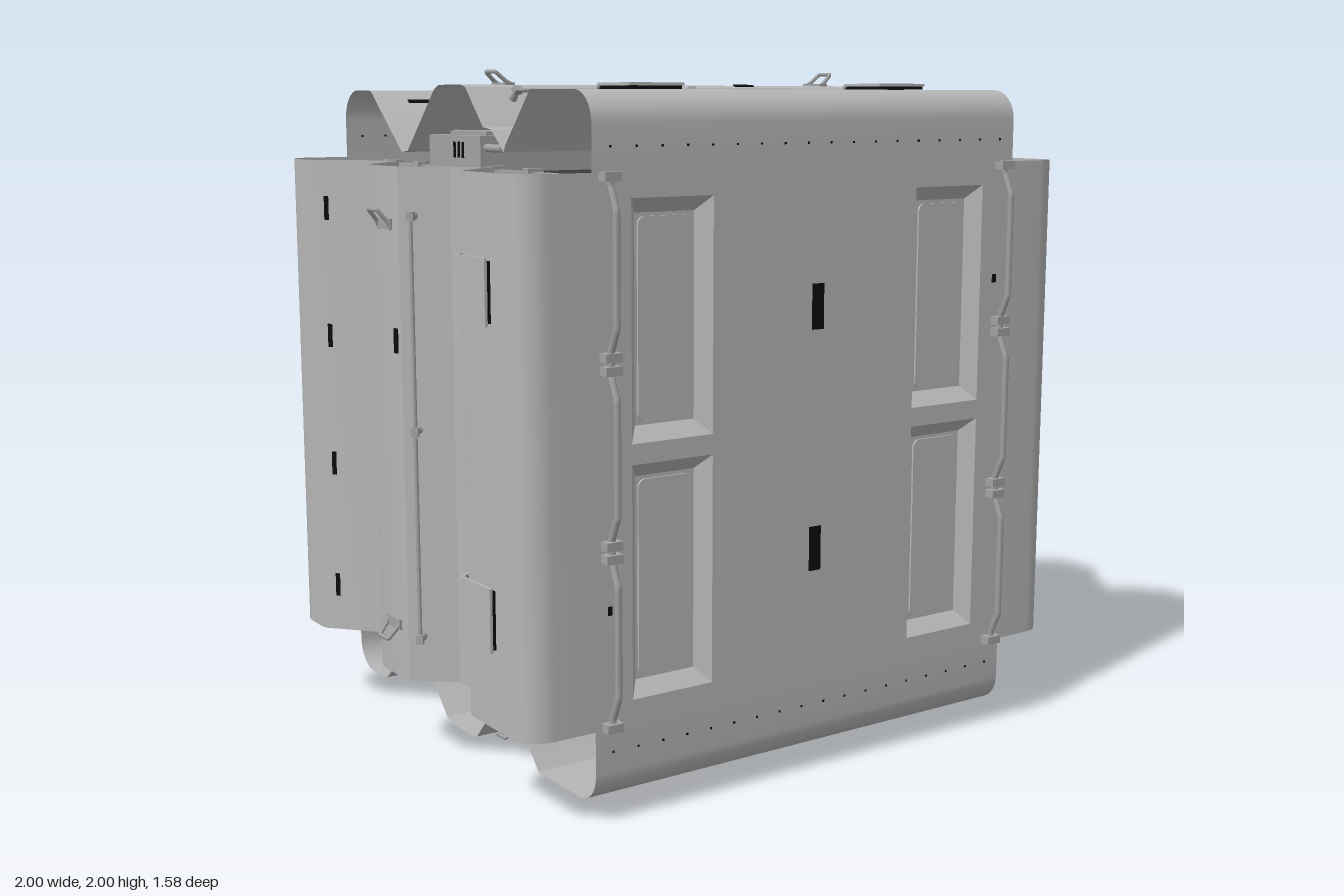
import * as THREE from 'three';
import { toCreasedNormals } from 'three/addons/utils/BufferGeometryUtils.js';

const mat = (name, color, side = THREE.FrontSide) => {
  const m = new THREE.MeshStandardMaterial({ color, side });
  m.name = name;
  return m;
};
const HALF = 0.735;   // half width of every sheet
const TOP = 0.943;    // distance of the outer skin from the centre line

const arc = (cz, cr, radius, from, to) => Array.from({ length: 9 }, (_, i) => {
  const a = THREE.MathUtils.degToRad(from + (to - from) * i / 8);
  return [cz + radius * Math.cos(a), cr + radius * Math.sin(a)];
});

// skin cross-section as [z, distance from centre], front to back
const PROFILE = [
  [0.735, HALF], ...arc(0.65, TOP - 0.085, 0.085, 0, 90),
  [0.43, TOP], [0.295, 0.795], [0.285, 0.775], [0.215, 0.835], [0.17, 0.84],
  [0.07, 0.95], [0.04, 0.957], [-0.09, 0.957], [-0.12, 0.945], [-0.3, 0.765], [-0.34, 0.76],
  [-0.54, 0.935], [-0.56, TOP], ...arc(-0.645, TOP - 0.09, 0.09, 90, 180), [-0.735, HALF],
];

// height and tilt of the skin at a given z
function skinAt(z) {
  for (let i = 1; i < PROFILE.length; i++) {
    const [z0, r0] = PROFILE[i - 1], [z1, r1] = PROFILE[i];
    if (z <= z0 && z >= z1 && z0 > z1) {
      return { r: r0 + (r1 - r0) * (z0 - z) / (z0 - z1), tilt: Math.atan2(r1 - r0, z0 - z1) };
    }
  }
  return { r: TOP, tilt: 0 };
}

// join two rows of points with quads
function strip(a, b, crease) {
  const idx = [];
  for (let i = 0; i < a.length - 1; i++) {
    const j = a.length + i;
    idx.push(i, j, i + 1, i + 1, j, j + 1);
  }
  const g = new THREE.BufferGeometry();
  g.setAttribute('position', new THREE.Float32BufferAttribute([...a, ...b].flat(), 3));
  g.setIndex(idx);
  return toCreasedNormals(g, crease);
}

function roundRect(w, h, r) {
  const s = new THREE.Shape(), x = w / 2, y = h / 2;
  s.absarc(x - r, y - r, r, 0, Math.PI / 2);
  s.absarc(-x + r, y - r, r, Math.PI / 2, Math.PI);
  s.absarc(-x + r, -y + r, r, Math.PI, Math.PI * 1.5);
  s.absarc(x - r, -y + r, r, Math.PI * 1.5, Math.PI * 2);
  return s;
}

export function createModel() {
  const panel = mat('panel grey', 0xb6b6b6, THREE.DoubleSide);
  const metal = mat('fitting grey', 0xa2a2a2);
  const black = mat('black', 0x0c0c0c);
  const dark = mat('interior dark grey', 0x3a3a3a);
  const model = new THREE.Group();
  const body = new THREE.Group();
  body.name = 'body';
  body.position.y = 1;
  model.add(body);

  const add = (parent, name, geo, m, x = 0, y = 0, z = 0) => {
    const o = new THREE.Mesh(geo, m);
    o.name = name;
    o.position.set(x, y, z);
    parent.add(o);
    return o;
  };
  const box = (w, h, d) => new THREE.BoxGeometry(w, h, d);
  const tube = (pts, r, n = 24) => {
    const path = new THREE.CurvePath();
    const v = pts.map(p => new THREE.Vector3(...p));
    for (let i = 1; i < v.length; i++) path.add(new THREE.LineCurve3(v[i - 1], v[i]));
    return new THREE.TubeGeometry(path, n, r, 6);
  };
  // group lying on the skin, its y axis along the surface normal
  const onSkin = (parent, name, x, z) => {
    const g = new THREE.Group(), s = skinAt(z);
    g.name = name;
    g.position.set(x, s.r, z);
    g.rotation.x = s.tilt;
    parent.add(g);
    return g;
  };

  // bent cover plate, between two offsets from the skin
  const padLayer = (lo, hi, width) => {
    const line = o => [[0.58, TOP + o], [0.43 - 0.41 * o, TOP + o], [0.29 - 0.7 * o, 0.79 + 0.7 * o]];
    const pts = [...line(hi), ...line(lo).reverse()].map(p => new THREE.Vector2(...p));
    return new THREE.ExtrudeGeometry(new THREE.Shape(pts), { depth: width, bevelEnabled: false })
      .rotateY(-Math.PI / 2).translate(width / 2, 0, 0);
  };

  function makeSide() {
    const side = new THREE.Group();
    side.name = 'side';
    add(side, 'foldedSkin', strip(PROFILE.map(([z, r]) => [HALF, r, z]),
      PROFILE.map(([z, r]) => [-HALF, r, z]), 0.4), panel);

    for (const s of [-1, 1]) {
      // cover plates with dark seals
      add(side, 'coverSeal', padLayer(0.001, 0.01, 0.16), black, s * 0.432);
      add(side, 'coverPlate', padLayer(0.01, 0.018, 0.175), panel, s * 0.432);
      // outward leaning grab loop
      add(side, 'grabLoop', tube([[s * 0.56, 0.955, 0.038], [s * 0.585, 0.968, 0.034], [s * 0.615, 0.994, 0.028],
        [s * 0.615, 0.994, -0.028], [s * 0.585, 0.968, -0.034], [s * 0.56, 0.955, -0.038]], 0.006, 30), metal);
      add(side, 'grabLoopBase', box(0.03, 0.008, 0.085), metal, s * 0.575, 0.96, 0);
    }

    // long rails on both slopes of the middle ridge
    for (const z of [0.1, -0.245]) {
      const rail = onSkin(side, 'slopeRail', 0, z);
      add(rail, 'rail', new THREE.CylinderGeometry(0.006, 0.006, 1.2, 8).rotateZ(Math.PI / 2), metal, 0, 0.035);
      for (const x of [-0.6, 0, 0.6]) {
        add(rail, 'railPost', new THREE.CylinderGeometry(0.008, 0.012, 0.04, 8), metal, x, 0.018);
        add(rail, 'railClamp', box(0.026, 0.016, 0.02), metal, x, 0.037);
      }
    }

    // dark slots
    for (const x of [-0.59, -0.2, 0.2, 0.59]) {
      add(onSkin(side, 'rearSlot', x, -0.51), 'slot', box(0.072, 0.005, 0.014), black);
    }
    add(onSkin(side, 'ridgeSlot', 0.25, 0.05), 'slot', box(0.07, 0.008, 0.016), black);
    for (const x of [0.645, 0.663]) {
      add(onSkin(side, 'smallMark', x, -0.38), 'mark', box(0.012, 0.006, 0.01), black);
    }

    // equipment box under the ridge, with vents and pipes at its ends
    add(side, 'equipmentBox', box(1.44, 0.1, 0.31), metal, 0, 0.765, -0.03);
    add(side, 'equipmentLid', box(1.36, 0.014, 0.22), metal, 0, 0.82, -0.02);
    for (const s of [-1, 1]) {
      add(side, 'pipe', new THREE.CylinderGeometry(0.011, 0.011, 0.1, 10).rotateX(Math.PI / 2),
        metal, s * 0.7, 0.782, 0.17);
      for (const z of [-0.025, 0, 0.025]) add(side, 'vent', box(0.006, 0.045, 0.008), black, s * 0.721, 0.775, z);
    }
    return side;
  }

  for (let i = 0; i < 4; i++) {
    const side = makeSide();
    side.name = ['topSide', 'leftSide', 'bottomSide', 'rightSide'][i];
    side.rotation.z = -i * Math.PI / 2;
    body.add(side);
  }

  // recessed end faces
  function makeFace() {
    const face = new THREE.Group();
    const plate = new THREE.Shape([[-HALF, -HALF], [HALF, -HALF], [HALF, HALF], [-HALF, HALF]]
      .map(p => new THREE.Vector2(...p)));
    const rect = (cx, cy, w, h, z) => [[-1, -1], [1, -1], [1, 1], [-1, 1], [-1, -1]]
      .map(([a, b]) => [cx + a * w / 2, cy + b * h / 2, z]);
    for (const sx of [-1, 1]) for (const sy of [-1, 1]) {
      const cx = sx * 0.487, cy = sy * 0.348;
      const outer = rect(cx, cy, 0.26, 0.64, 0), inner = rect(cx, cy, 0.19, 0.56, -0.04);
      plate.holes.push(new THREE.Path(outer.map(p => new THREE.Vector2(p[0], p[1]))));
      add(face, 'recessWall', strip(outer, inner, 0.1), panel);
      add(face, 'recessFloor', new THREE.PlaneGeometry(0.19, 0.56), panel, cx, cy, -0.04);
      add(face, 'recessPanel', new THREE.ExtrudeGeometry(roundRect(0.175, 0.54, 0.022),
        { depth: 0.006, bevelEnabled: false }), panel, cx, cy, -0.04);
    }
    add(face, 'facePlate', new THREE.ShapeGeometry(plate), panel);

    for (const y of [0.35, -0.34]) add(face, 'faceSlot', box(0.04, 0.128, 0.006), black, 0, y, 0);
    add(face, 'smallMark', box(0.014, 0.024, 0.006), black, 0.672, 0.39, 0);
    add(face, 'smallMark', box(0.012, 0.024, 0.006), black, -0.688, -0.41, 0);

    // wavy edge rails and their clamps
    for (const s of [-1, 1]) {
      const x = s * 0.69, lo = 0.014, hi = 0.043;
      const pts = [[x, 0.73, lo]];
      for (const c of [0.49, 0, -0.49]) {
        pts.push([x, c + 0.215, lo], [x, c + 0.15, hi], [x, c - 0.15, hi], [x, c - 0.215, lo]);
      }
      pts.push([x, -0.73, lo]);
      add(face, 'edgeRail', tube(pts, 0.01, 130), metal);
      for (const y of [0.725, 0.265, 0.23, -0.23, -0.265, -0.725]) {
        add(face, 'railClamp', box(0.05, 0.024, 0.032), metal, x, y, 0.016);
      }
      for (let i = 0; i < 18; i++) {
        add(face, 'screw', box(0.006, 0.006, 0.004), black, -0.68 + i * 0.08, s * 0.8, 0);
      }
    }
    return face;
  }
  const front = makeFace(), back = makeFace();
  front.name = 'frontFace';
  front.position.z = 0.735;
  back.name = 'backFace';
  back.rotation.y = Math.PI;
  back.position.z = -0.735;
  body.add(front, back);

  // inner core and corner beams
  add(body, 'core', box(1.38, 1.38, 0.9), dark, 0, 0, -0.05);
  for (const x of [-0.71, 0.71]) for (const y of [-0.71, 0.71]) {
    add(body, 'cornerBeam', box(0.03, 0.03, 1.4), metal, x, y, 0);
    for (const z of [-0.45, -0.25, 0.2, 0.4]) add(body, 'cornerBracket', box(0.05, 0.05, 0.03), metal, x, y, z);
  }
  return model;
}
